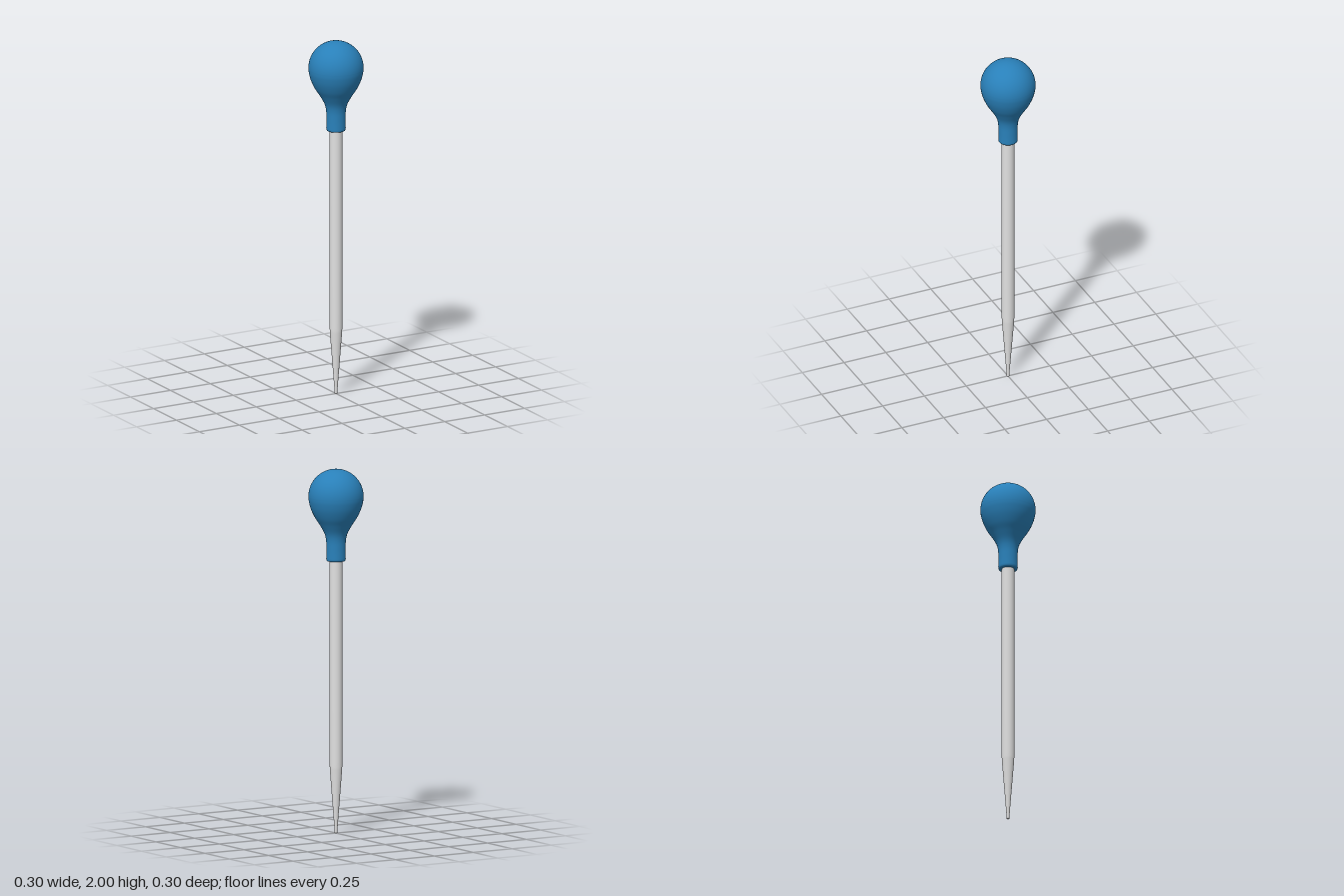
import * as THREE from 'three';

const lathe = (points, material, name) => {
  const mesh = new THREE.Mesh(new THREE.LatheGeometry(points, 64), material);
  mesh.name = name;
  return mesh;
};
const v = (x, y) => new THREE.Vector2(x, y);

export function createModel() {
  const rubber = new THREE.MeshStandardMaterial({ color: 0x2980b9 });
  rubber.name = 'blue rubber';
  const glass = new THREE.MeshStandardMaterial({ color: 0xe0e0e0 });
  glass.name = 'pale glass';

  const group = new THREE.Group();
  group.name = 'dropper';

  // Hollow stem: bore, rounded tip, long taper, straight barrel up into the neck
  group.add(lathe([
    v(0.026, 1.56), v(0.026, 0.36), v(0.004, 0.01), v(0.004, 0.001), v(0.0045, 0),
    v(0.0065, 0), v(0.0075, 0.002), v(0.008, 0.02), v(0.0335, 0.35),
    v(0.034, 0.365), v(0.034, 0.39), v(0.034, 1.56), v(0.026, 1.56),
  ], glass, 'stem'));

  // Rubber collar with a rounded lip, closed around the stem
  const collar = [v(0.033, 1.495), v(0.046, 1.495), v(0.050, 1.4965), v(0.0525, 1.501), v(0.053, 1.508)];

  // Neck flaring smoothly into the bulb
  const neck = new THREE.SplineCurve([
    v(0.053, 1.51), v(0.0525, 1.56), v(0.054, 1.61), v(0.064, 1.65),
    v(0.089, 1.695), v(0.115, 1.735), v(0.136, 1.78), v(0.1475, 1.822), v(0.15, 1.85),
  ]).getPoints(48);

  // Round top of the bulb
  const dome = [];
  for (let i = 1; i <= 24; i++) {
    const a = (i / 24) * Math.PI / 2;
    dome.push(v(i === 24 ? 0 : 0.15 * Math.cos(a), 1.85 + 0.15 * Math.sin(a)));
  }
  group.add(lathe([...collar, ...neck, ...dome], rubber, 'bulb'));

  return group;
}
